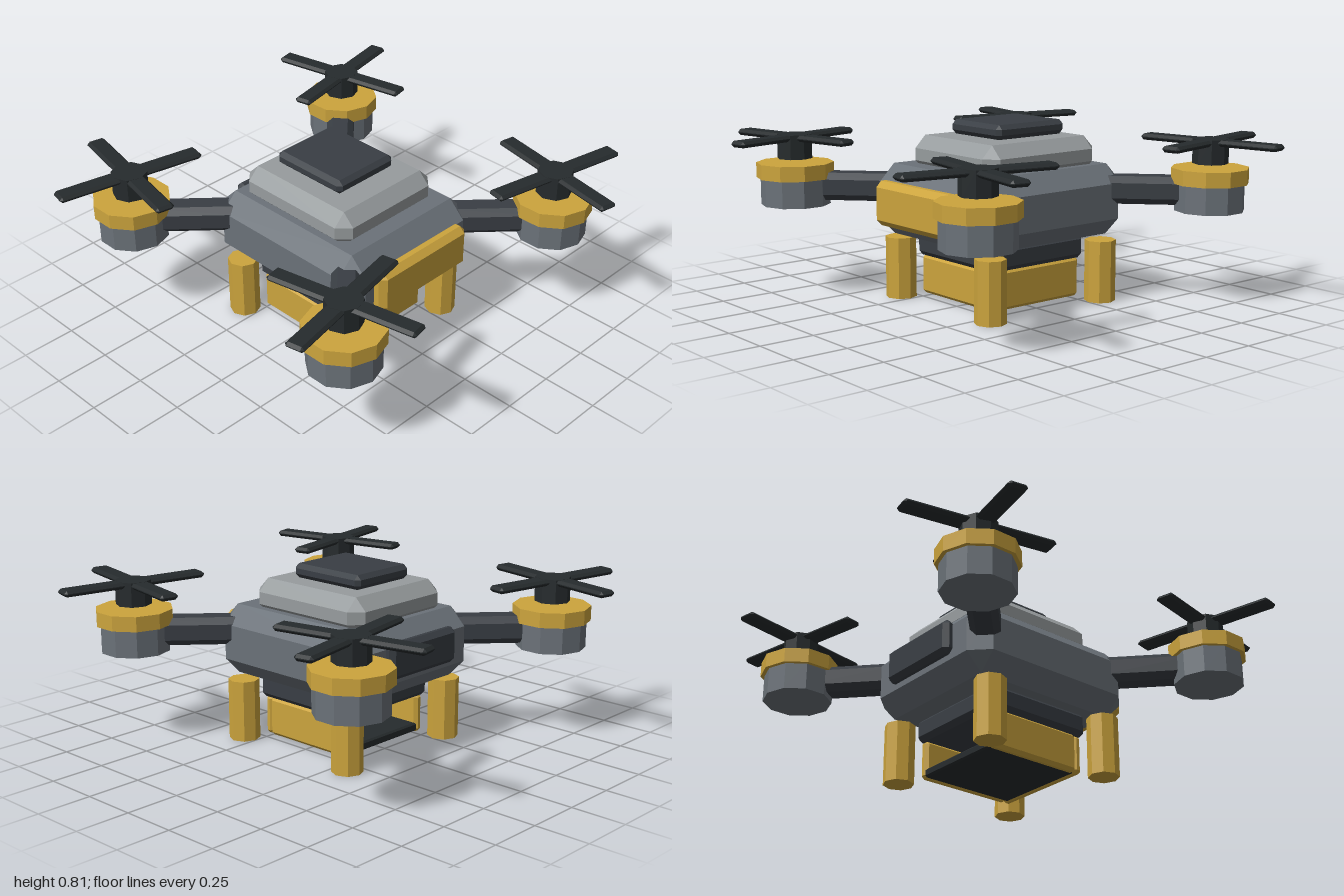
import * as THREE from 'three';
import { ConvexGeometry } from 'three/addons/geometries/ConvexGeometry.js';

const material = (color) => new THREE.MeshStandardMaterial({ color, flatShading: true });

export function createModel() {
  const model = new THREE.Group();
  model.name = 'quadcopter';
  const yellow = material(0xcca43d);
  const grey = material(0x6b7279);
  const light = material(0x979c9e);
  const dark = material(0x393e44);
  const black = material(0x262b2d);

  const add = (parent, name, geometry, mat, x, y, z) => {
    const mesh = new THREE.Mesh(geometry, mat);
    mesh.name = name;
    mesh.position.set(x, y, z);
    parent.add(mesh);
    return mesh;
  };

  // Box with every edge cut at 45 degrees
  const chamferBox = (w, h, d, c) => {
    const points = [];
    for (const sx of [-1, 1]) for (const sy of [-1, 1]) for (const sz of [-1, 1]) {
      const [x, y, z] = [w / 2, h / 2, d / 2];
      points.push(
        new THREE.Vector3(sx * x, sy * (y - c), sz * (z - c)),
        new THREE.Vector3(sx * (x - c), sy * y, sz * (z - c)),
        new THREE.Vector3(sx * (x - c), sy * (y - c), sz * z));
    }
    return new ConvexGeometry(points);
  };
  const drum = (r, h, sides) => new THREE.CylinderGeometry(r, r, h, sides);

  // Hull
  add(model, 'body', chamferBox(0.78, 0.32, 0.88, 0.08), grey, 0, 0.46, 0);
  add(model, 'topCover', chamferBox(0.58, 0.165, 0.64, 0.055), light, 0, 0.662, -0.025);
  add(model, 'topHatch', chamferBox(0.34, 0.065, 0.39, 0.02), dark, 0, 0.782, -0.045);
  add(model, 'frontPanel', chamferBox(0.54, 0.2, 0.08, 0.027), yellow, 0, 0.46, 0.465);
  add(model, 'rearPanel', chamferBox(0.43, 0.16, 0.06, 0.022), dark, 0, 0.485, -0.45);

  // Cargo tray, open at the back
  add(model, 'neck', chamferBox(0.54, 0.11, 0.54, 0.022), dark, 0, 0.25, 0);
  add(model, 'trayFloor', chamferBox(0.46, 0.04, 0.48, 0.008), black, 0, 0.045, -0.005);
  add(model, 'trayFront', chamferBox(0.5, 0.18, 0.045, 0.015), yellow, 0, 0.11, 0.235);
  for (const s of [-1, 1]) {
    add(model, 'traySide', chamferBox(0.045, 0.18, 0.47, 0.015), yellow, s * 0.235, 0.11, -0.015);
  }

  // Each corner: arm, motor, rotor and landing leg
  for (const sx of [-1, 1]) for (const sz of [-1, 1]) {
    add(model, 'landingLeg', drum(0.07, 0.28, 8), yellow, sx * 0.32, 0.14, sz * 0.32);

    const arm = add(model, 'arm', chamferBox(0.13, 0.125, 0.46, 0.028), dark, sx * 0.475, 0.51, sz * 0.487);
    arm.rotation.y = Math.atan2(sx * 0.3, sz * 0.28);

    const unit = new THREE.Group();
    unit.name = 'rotorUnit';
    unit.position.set(sx * 0.66, 0, sz * 0.66);
    model.add(unit);
    add(unit, 'motor', drum(0.157, 0.13, 10), grey, 0, 0.487, 0);
    add(unit, 'motorRing', drum(0.175, 0.068, 10), yellow, 0, 0.58, 0);
    add(unit, 'hub', drum(0.08, 0.11, 8), black, 0, 0.687, 0);
    for (const turn of [0, Math.PI / 2]) {
      const blade = add(unit, 'blade', chamferBox(0.685, 0.028, 0.086, 0.012), black, 0, 0.727, 0);
      blade.rotation.y = turn - sx * sz * 0.2;
    }
  }
  return model;
}
